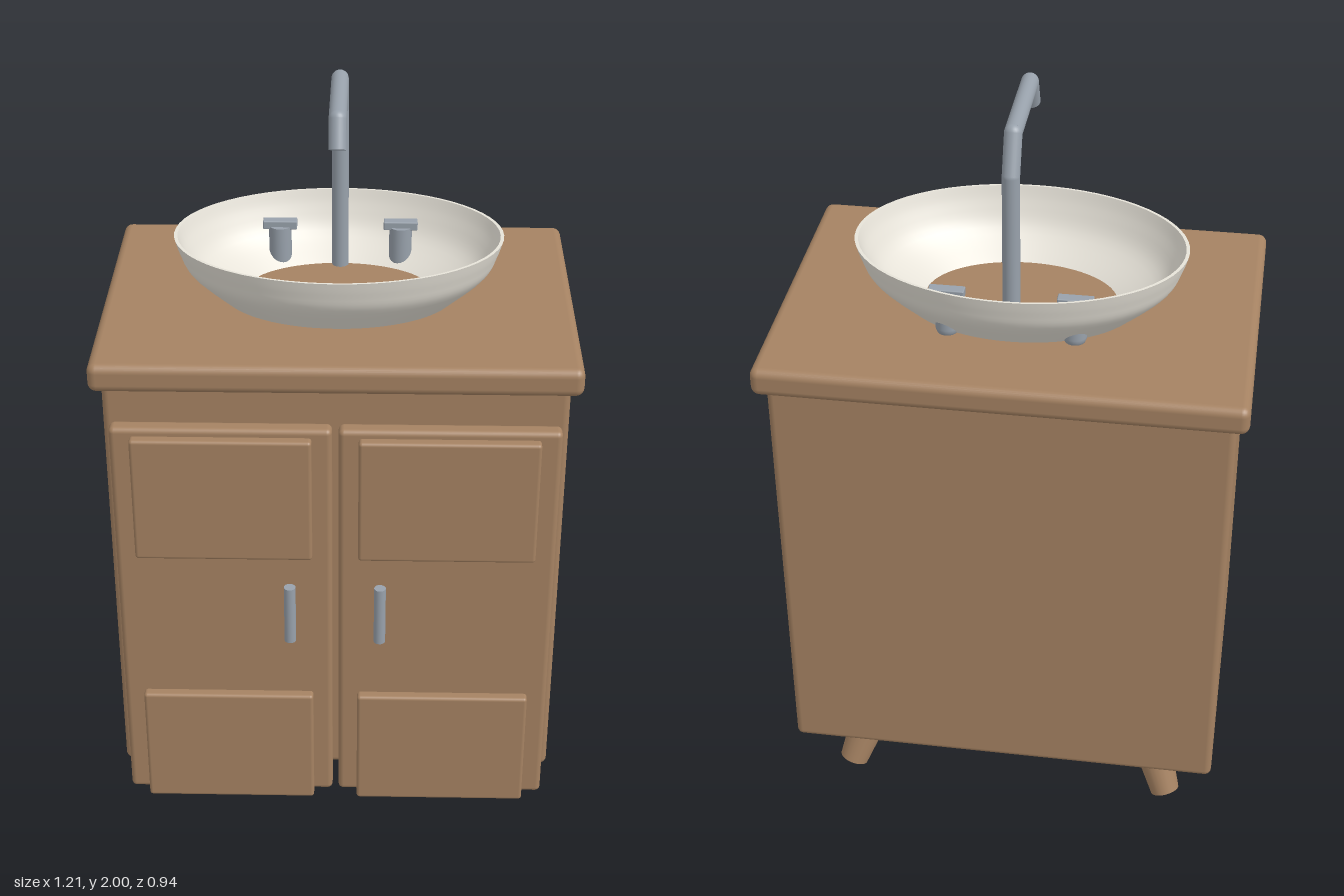
import * as THREE from 'three';
import { RoundedBoxGeometry } from 'three/addons/geometries/RoundedBoxGeometry.js';

const material = (name, color) => {
  const m = new THREE.MeshStandardMaterial({ color });
  m.name = name;
  return m;
};

export function createModel() {
  const root = new THREE.Group();
  root.name = 'washstand';
  const wood = material('wood', 0xa58262);
  const ceramic = material('ceramic', 0xe6e2d8);
  const metal = material('metal', 0x98a1ab);

  const add = (name, geometry, mat) => {
    const mesh = new THREE.Mesh(geometry, mat);
    mesh.name = name;
    root.add(mesh);
    return mesh;
  };
  // Rounded box given by its extents on each axis
  const box = (name, [x0, x1], [y0, y1], [z0, z1], radius, mat = wood) => {
    const mesh = add(name, new RoundedBoxGeometry(x1 - x0, y1 - y0, z1 - z0, 3, radius), mat);
    mesh.position.set((x0 + x1) / 2, (y0 + y1) / 2, (z0 + z1) / 2);
  };
  // Round rod between two points, r0 at the start and r1 at the end
  const rod = (name, a, b, r0, r1, mat) => {
    const dir = b.clone().sub(a);
    const mesh = add(name, new THREE.CylinderGeometry(r1, r0, dir.length(), 24), mat);
    mesh.position.copy(a).addScaledVector(dir, 0.5);
    mesh.quaternion.setFromUnitVectors(new THREE.Vector3(0, 1, 0), dir.normalize());
  };
  const v = (x, y, z) => new THREE.Vector3(x, y, z);

  // Cabinet and worktop
  box('cabinet', [-0.577, 0.577], [0.205, 1.39], [-0.435, 0.365], 0.018);
  box('worktop', [-0.607, 0.607], [1.37, 1.445], [-0.47, 0.39], 0.022);

  for (const s of [-1, 1]) {
    const side = s > 0 ? 'left' : 'right';
    const span = (a, b) => (s > 0 ? [a, b] : [-b, -a]);

    // Door with two raised panels and a bar handle
    box(side + 'Door', span(0.008, 0.56), [0.145, 1.282], [0.36, 0.407], 0.014);
    box(side + 'UpperPanel', span(0.058, 0.508), [0.915, 1.262], [0.4, 0.433], 0.009);
    box(side + 'LowerPanel', span(0.058, 0.508), [0.138, 0.483], [0.4, 0.433], 0.009);
    rod(side + 'Handle', v(s * 0.115, 0.685, 0.455), v(s * 0.115, 0.85, 0.455), 0.015, 0.015, metal);

    // Splayed, tapered legs
    for (const [end, d] of [['Front', 1], ['Back', -1]]) {
      rod(side + end + 'Leg', v(s * 0.45, 0.015, -0.035 + d * 0.275),
        v(s * 0.375, 0.23, -0.035 + d * 0.2), 0.04, 0.062, wood);
    }

    // Tap: round stem with a crossbar
    rod(side + 'TapStem', v(s * 0.16, 1.46, -0.218), v(s * 0.16, 1.552, -0.218), 0.03, 0.03, metal);
    const foot = add(side + 'TapFoot', new THREE.SphereGeometry(0.03, 20, 12), metal);
    foot.position.set(s * 0.16, 1.46, -0.218);
    box(side + 'TapCrossbar', [s * 0.16 - 0.045, s * 0.16 + 0.045], [1.545, 1.568], [-0.233, -0.203], 0.003, metal);
  }

  // Oval basin: outer wall, rim and inner wall, open at the bottom
  const wall = (name, points) => {
    const curve = new THREE.SplineCurve(points.map(([r, y]) => new THREE.Vector2(r, y)));
    const mesh = add(name, new THREE.LatheGeometry(curve.getPoints(14), 64), basinMaterial);
    mesh.scale.z = 0.703;
    mesh.position.z = -0.037;
  };
  const basinMaterial = ceramic;
  ceramic.side = THREE.DoubleSide;
  wall('basinOuterWall', [[0.3, 1.444], [0.385, 1.52], [0.41, 1.57], [0.423, 1.61]]);
  wall('basinRim', [[0.423, 1.61], [0.414, 1.61]]);
  wall('basinInnerWall', [[0.414, 1.61], [0.393, 1.565], [0.348, 1.505], [0.247, 1.446]]);

  // Angular spout
  const path = [[1.44, -0.21], [1.883, -0.21], [1.978, -0.17], [1.978, 0.108], [1.91, 0.14]]
    .map(([y, z]) => v(0, y, z));
  for (let i = 1; i < path.length; i++) {
    rod('spoutPipe' + i, path[i - 1], path[i], 0.022, 0.022, metal);
    if (i < path.length - 1) {
      const joint = add('spoutJoint' + i, new THREE.SphereGeometry(0.022, 24, 16), metal);
      joint.position.copy(path[i]);
    }
  }
  return root;
}
